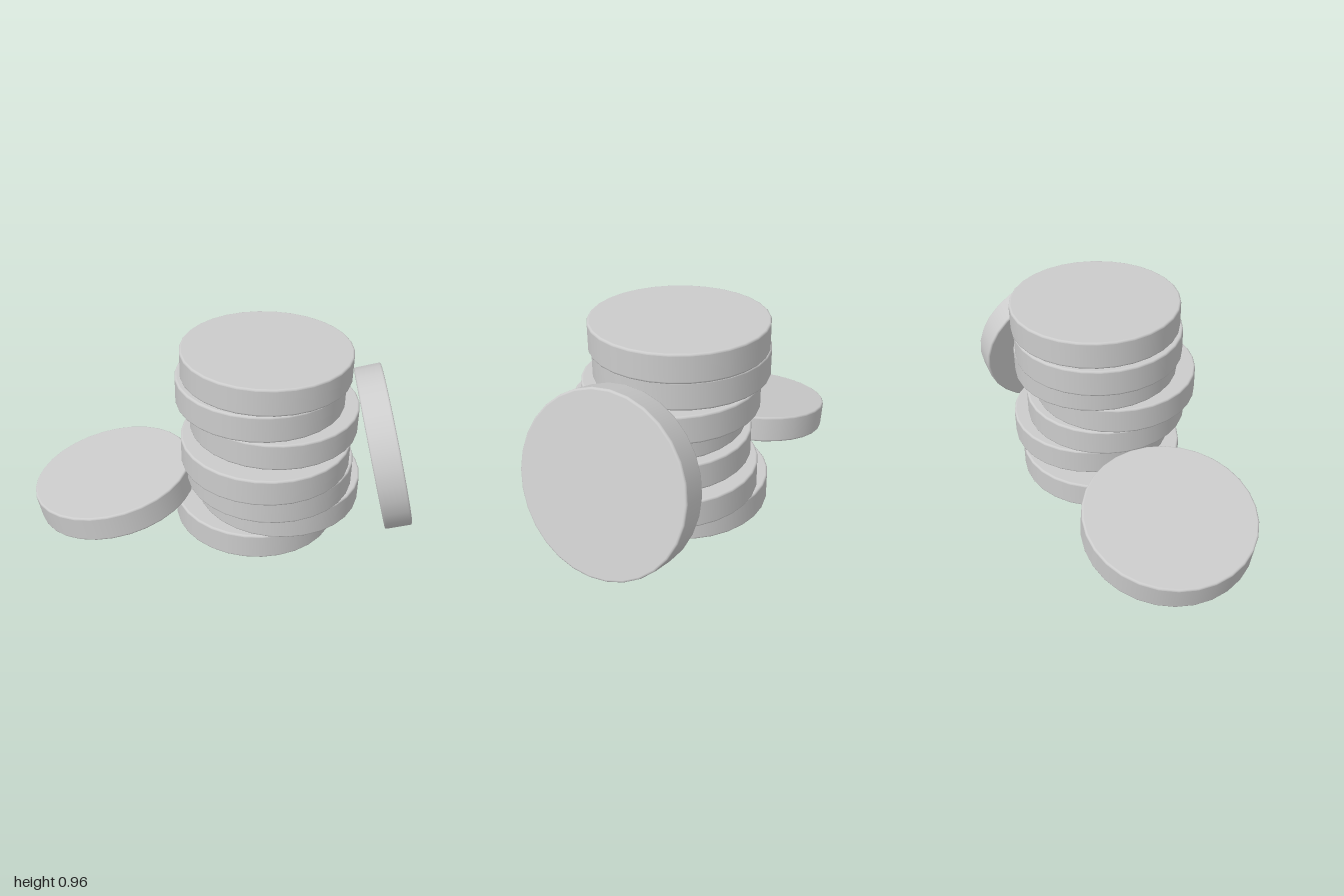
import * as THREE from 'three';

const RADIUS = 0.42, THICK = 0.137, BEVEL = 0.009, SIDES = 30;

// Thick disc with softly rounded rims, centred on the origin, axis along y
function discGeometry() {
  const h = THICK / 2, eps = 0.001;
  const upper = [];
  for (let i = 0; i <= 3; i++) {
    const a = (i / 3) * Math.PI / 2;
    upper.push(new THREE.Vector2(
      RADIUS - BEVEL + BEVEL * Math.cos(a),
      h - BEVEL + BEVEL * Math.sin(a)
    ));
  }
  // Extra points beside the rounding keep the wall and caps evenly shaded
  upper.unshift(new THREE.Vector2(RADIUS, h - BEVEL - eps));
  upper.push(new THREE.Vector2(RADIUS - BEVEL - eps, h), new THREE.Vector2(0, h));
  const lower = upper.map(p => new THREE.Vector2(p.x, -p.y)).reverse();
  return new THREE.LatheGeometry([...lower, ...upper], SIDES).rotateY(Math.PI / 2);
}

export function createModel() {
  const model = new THREE.Group();
  model.name = 'discStack';
  const material = new THREE.MeshStandardMaterial({ color: 0xcccccc });
  const geometry = discGeometry();

  const addDisc = (name, x, y, z, tilt = 0) => {
    const disc = new THREE.Mesh(geometry, material);
    disc.name = name;
    disc.position.set(x, y, z);
    disc.rotation.z = THREE.MathUtils.degToRad(tilt);
    model.add(disc);
  };

  // Uneven stack: x and z offset of each disc, bottom to top
  const offsets = [
    [0.172, -0.053], [0.29, -0.05], [0.24, 0.012], [0.215, 0.055],
    [0.253, -0.035], [0.182, -0.05], [0.207, -0.053],
  ];
  offsets.forEach(([x, z], i) =>
    addDisc(`stackDisc${i + 1}`, x, 0.004 + THICK / 2 + i * 0.1373, z));

  // Loose discs propped against the stack
  addDisc('leaningDisc', 0.817, 0.421, -0.053, -75);
  addDisc('tiltedDisc', -0.579, 0.151, -0.053, 10);

  return model;
}
